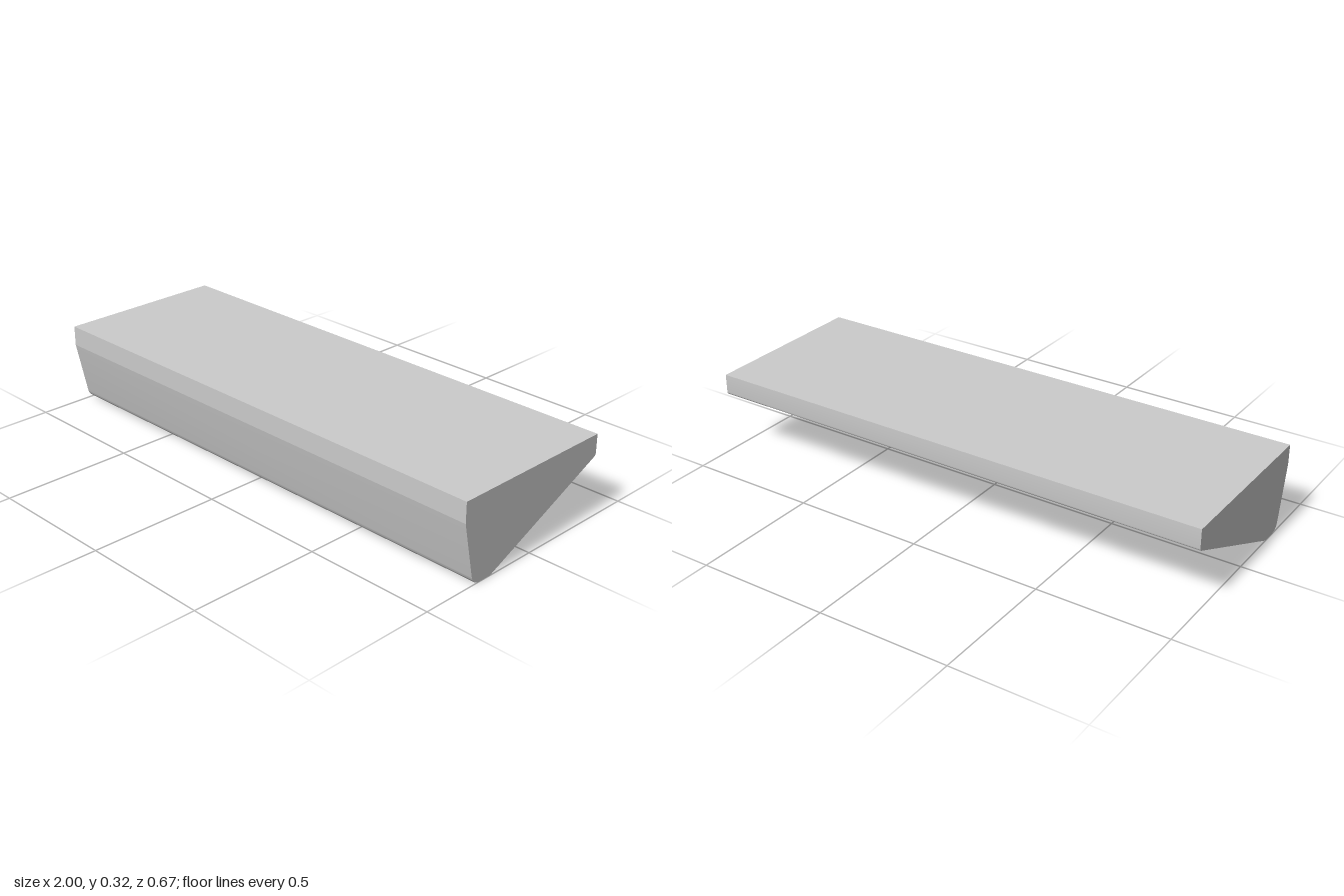
import * as THREE from 'three';
import { toCreasedNormals } from 'three/addons/utils/BufferGeometryUtils.js';

// Wedge profile in (z, y), starting and ending at the two ends of the sloped underside
function wedgeProfile() {
  const s = new THREE.Shape();
  s.moveTo(-0.328, 0.235);
  s.quadraticCurveTo(-0.335, 0.239, -0.335, 0.247); // small round on the back lip
  s.lineTo(-0.335, 0.317);
  s.lineTo(0.335, 0.317);
  s.lineTo(0.335, 0.24);
  s.lineTo(0.292, 0.035);
  s.quadraticCurveTo(0.285, 0, 0.25, 0); // rounded lower front edge
  s.lineTo(0.2, 0);
  s.lineTo(0.152, 0);
  return s.getPoints(14);
}

function wedgeGeometry() {
  const profile = wedgeProfile();
  const n = profile.length;
  const inset = 0.06; // the last point is pulled in to cut the end chamfers
  const point = (i, side) => {
    const p = profile[i % n];
    return [side * (i % n === n - 1 ? 1 - inset : 1), p.y, p.x];
  };
  const pos = [];
  const tri = (a, b, c) => pos.push(...a, ...b, ...c);

  // Long faces between the two ends
  for (let i = 0; i < n; i++) {
    const a = point(i, -1), b = point(i + 1, -1), c = point(i + 1, 1), d = point(i, 1);
    tri(a, b, c);
    tri(a, c, d);
  }
  // Ends, fanned from the back lip so the last triangle is the chamfer
  for (let i = 1; i < n - 1; i++) {
    tri(point(0, 1), point(i, 1), point(i + 1, 1));
    tri(point(0, -1), point(i + 1, -1), point(i, -1));
  }

  const g = new THREE.BufferGeometry();
  g.setAttribute('position', new THREE.Float32BufferAttribute(pos, 3));
  return toCreasedNormals(g, THREE.MathUtils.degToRad(11));
}

export function createModel() {
  const group = new THREE.Group();
  group.name = 'wedgeBlock';
  const body = new THREE.Mesh(wedgeGeometry(), new THREE.MeshStandardMaterial({ color: 0xcccccc }));
  body.name = 'wedgeBody';
  group.add(body);
  return group;
}
